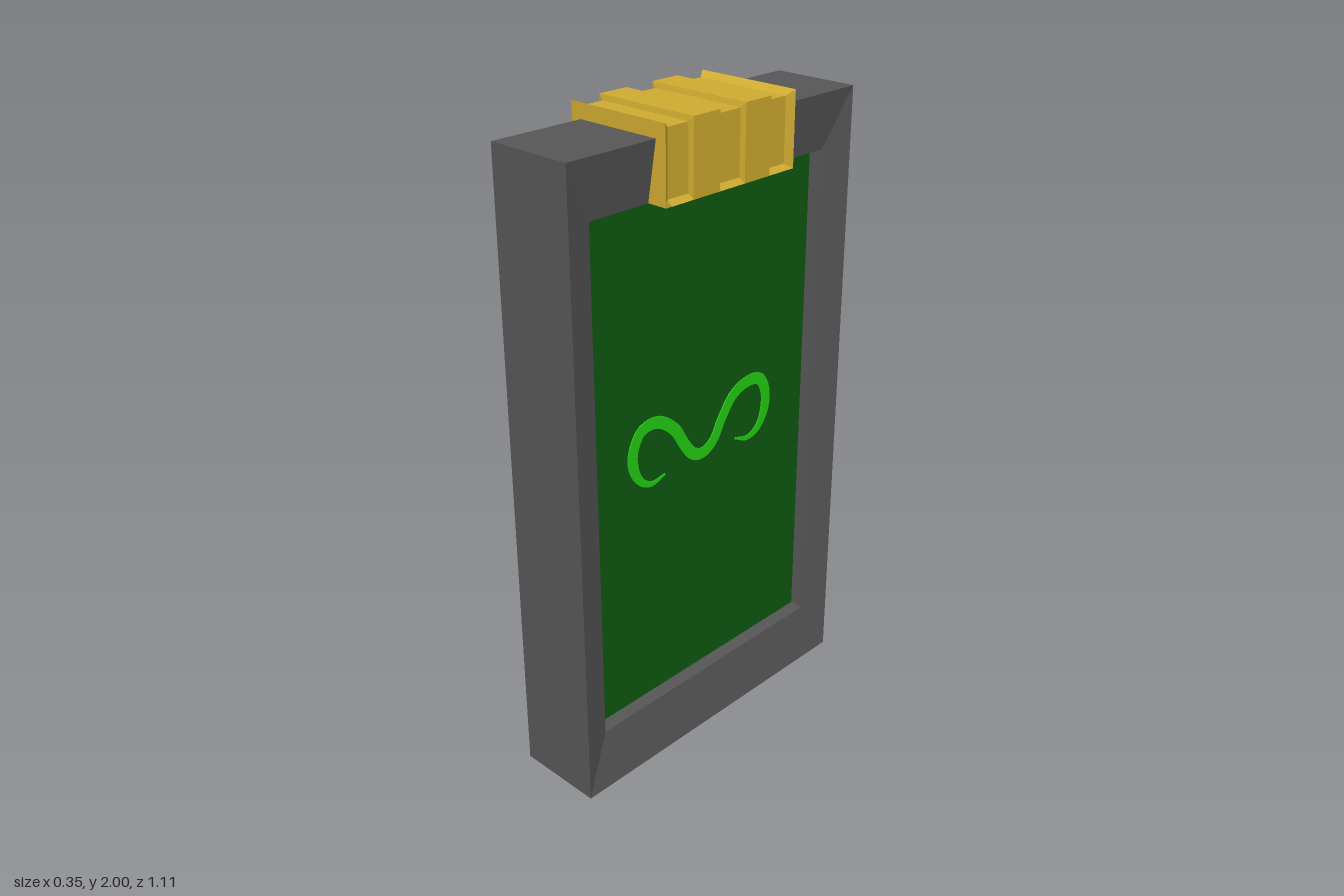
import * as THREE from 'three';

const mat = (name, color, side = THREE.FrontSide) => {
  const m = new THREE.MeshStandardMaterial({ color, side });
  m.name = name;
  return m;
};

// Joins equal-length rings of points with quads, giving hard edges.
function loft(rings, closedRing = true) {
  const pos = [];
  for (let i = 0; i < rings.length - 1; i++) {
    const a = rings[i], b = rings[i + 1], n = a.length;
    for (let j = 0; j < (closedRing ? n : n - 1); j++) {
      const k = (j + 1) % n;
      for (const p of [a[j], a[k], b[k], a[j], b[k], b[j]]) pos.push(...p);
    }
  }
  const g = new THREE.BufferGeometry();
  g.setAttribute('position', new THREE.Float32BufferAttribute(pos, 3));
  g.computeVertexNormals();
  return g;
}

// Rectangular ring in a plane of constant x.
const rect = (x, z, y0, y1) => [[x, y0, z], [x, y0, -z], [x, y1, -z], [x, y1, z]];

// U-shaped cross-section of the clasp straddling the frame.
function claspSection(z, inset) {
  const w = 0.175 - inset, top = 2 - inset;
  const half = [[0.11, 1.9], [0.11, 1.78], [0.175, 1.78], [w, 1.795], [w, top]];
  const mirrored = half.map(([x, y]) => [-x, y]).reverse();
  return [...half, ...mirrored].map(([x, y]) => [x, y, z]);
}

// Flat cap for one end of the clasp.
function claspEnd(z) {
  const s = new THREE.Shape(claspSection(0, 0).map(([x, y]) => new THREE.Vector2(x, y)));
  const g = new THREE.ShapeGeometry(s);
  if (z < 0) g.rotateY(Math.PI).translate(0, 0, z);
  else g.translate(0, 0, z);
  return g;
}

// Curling stroke with tapered ends, drawn across the panel.
function emblemGeometry() {
  const pts = [
    [-0.155, 0.928], [-0.215, 0.918], [-0.265, 0.955], [-0.285, 1.03], [-0.25, 1.1],
    [-0.185, 1.108], [-0.115, 1.06], [-0.07, 0.99], [-0.035, 0.95], [0.005, 0.938],
    [0.05, 0.96], [0.09, 1.025], [0.14, 1.085], [0.2, 1.107], [0.255, 1.1],
    [0.285, 1.05], [0.282, 0.98], [0.25, 0.93], [0.205, 0.915], [0.15, 0.932],
  ];
  const curve = new THREE.CatmullRomCurve3(pts.map(([u, y]) => new THREE.Vector3(u, y, 0)));
  const n = 90, left = [], right = [];
  for (let i = 0; i <= n; i++) {
    const t = i / n, p = curve.getPointAt(t), d = curve.getTangentAt(t);
    const w = 0.003 + 0.016 * Math.min(1, 7 * Math.min(t, 1 - t));
    left.push(new THREE.Vector2(p.x - d.y * w, p.y + d.x * w));
    right.push(new THREE.Vector2(p.x + d.y * w, p.y - d.x * w));
  }
  const g = new THREE.ExtrudeGeometry(new THREE.Shape([...left, ...right.reverse()]),
    { depth: 0.004, bevelEnabled: false });
  return g.rotateY(Math.PI / 2).translate(0.065, 0, 0);
}

export function createModel() {
  const model = new THREE.Group();
  const grey = mat('frameGrey', 0x565656);
  const green = mat('panelGreen', 0x0e5a10);
  const lime = mat('emblemGreen', 0x22d012);
  const gold = mat('claspGold', 0xcfab30, THREE.DoubleSide);
  const add = (name, geometry, material, parent = model) => {
    const m = new THREE.Mesh(geometry, material);
    m.name = name;
    parent.add(m);
    return m;
  };

  // Frame: faces slope inward to a recessed opening on both sides
  const inner = [0.46, 0.18, 1.78], outer = [0.555, 0, 1.955];
  add('frame', loft([
    rect(0.06, ...inner), rect(0.11, ...inner), rect(0.14, ...outer),
    rect(-0.14, ...outer), rect(-0.11, ...inner), rect(-0.06, ...inner),
  ].reverse()), grey);

  // Recessed panel with its emblem on one side only
  add('panel', new THREE.BoxGeometry(0.132, 1.6, 0.92).translate(0, 0.98, 0), green);
  add('emblem', emblemGeometry(), lime);

  // Clasp: alternating raised and sunken bands with flared ends
  const clasp = new THREE.Group();
  clasp.name = 'clasp';
  model.add(clasp);
  const halfStations = [[0.252, 0], [0.23, 0.016], [0.153, 0.016], [0.15, 0], [0.05, 0], [0.046, 0.016]];
  const stations = [...halfStations, ...halfStations.map(([z, d]) => [-z, d]).reverse()];
  add('claspBands', loft(stations.map(([z, d]) => claspSection(z, d)).reverse()), gold, clasp);
  for (const z of [0.252, -0.252]) add('claspEnd', claspEnd(z), gold, clasp);

  // Orientation check is by construction: the emblem lies on the +x side
  return model;
}
